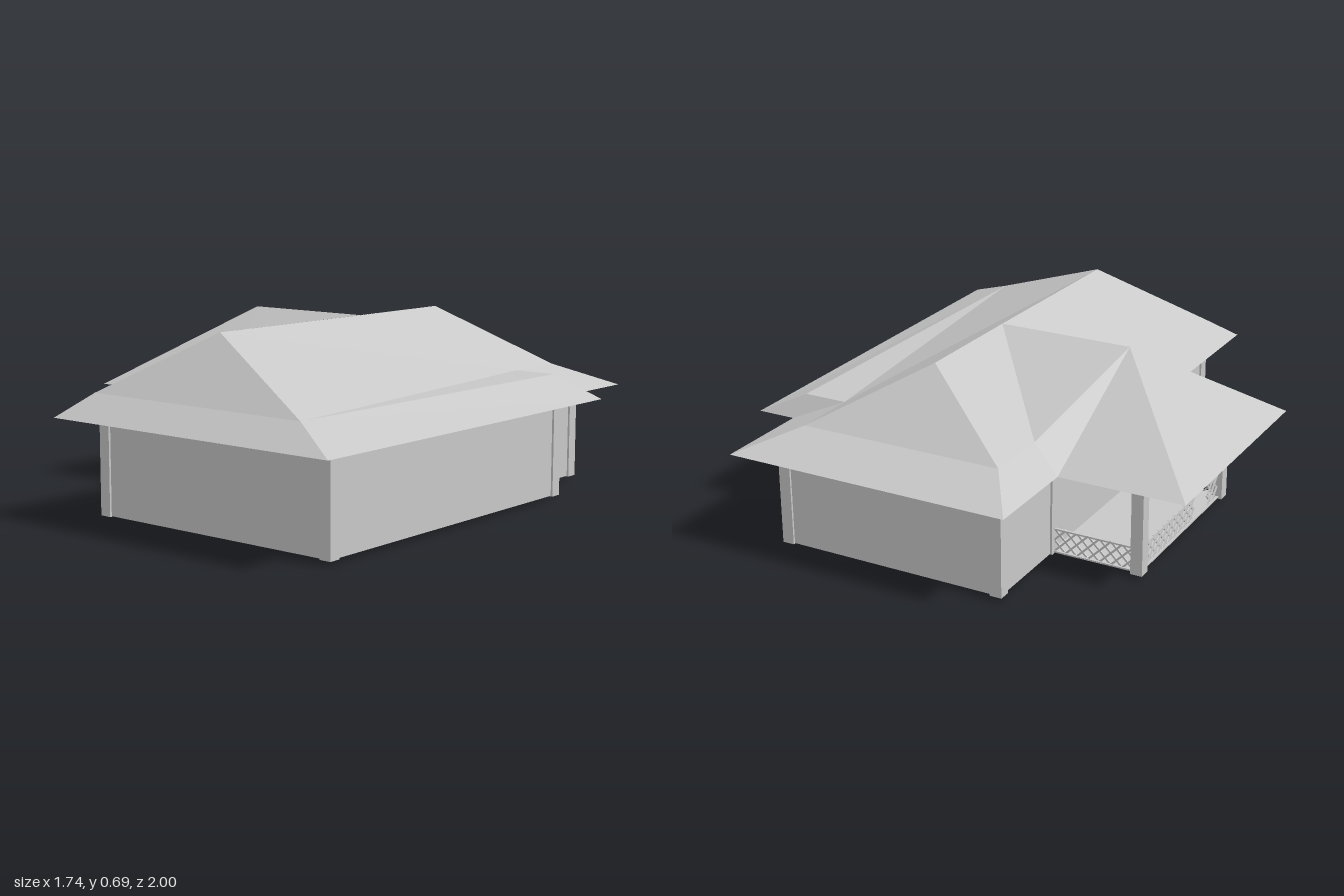
import * as THREE from 'three';

export function createModel() {
  const model = new THREE.Group();
  const mat = (name, color, side = THREE.FrontSide) => {
    const m = new THREE.MeshStandardMaterial({ color, side });
    m.name = name;
    return m;
  };
  const grey = mat('plain grey', 0xc8c8c8);
  const roofGrey = mat('roof grey', 0xc8c8c8, THREE.DoubleSide);

  const add = (geo, material, name, parent = model) => {
    const mesh = new THREE.Mesh(geo, material);
    mesh.name = name;
    parent.add(mesh);
    return mesh;
  };
  const box = (name, w, h, d, x, y, z, parent) => {
    const mesh = add(new THREE.BoxGeometry(w, h, d), grey, name, parent);
    mesh.position.set(x, y, z);
    return mesh;
  };

  const BASE = 0.015, EAVE = 0.38, BREAK = 0.465, RIDGE = 0.69;
  const H = EAVE - BASE, MID = (EAVE + BASE) / 2;

  // Roof corner points: eaves, change of slope, ridges
  const e = (x, z) => [x, EAVE, z], b = (x, z) => [x, BREAK, z], r = (x, z) => [x, RIDGE, z];
  const eFL = e(-0.39, 1), eFR = e(0.87, 1), eMR = e(0.87, -0.62), eXR = e(0.72, -0.62);
  const eBR = e(0.72, -1), eBL = e(-0.39, -1), eVB = e(-0.39, -0.62), eWB = e(-0.87, -0.62);
  const eWF = e(-0.87, 0.31), eVF = e(-0.39, 0.31);
  const bFL = b(-0.3, 0.885), bFR = b(0.66, 0.885), bMR = b(0.69, -0.57), bXR = b(0.52, -0.57);
  const bBR = b(0.52, -0.82), bBL = b(-0.27, -0.82), bVB = b(-0.27, -0.565), bVF = b(-0.27, 0.2);
  const rF = r(0.1, 0.66), rB = r(0.125, -0.57), rC = r(0.118, -0.1), rW = r(-0.41, -0.1);

  // A roof plane as a fan of triangles, all facing upward
  const roof = new THREE.Group();
  roof.name = 'roof';
  model.add(roof);
  const plane = (name, ...faces) => {
    const pos = [];
    for (const f of faces) {
      for (let i = 1; i < f.length - 1; i++) {
        const [p, q, s] = [f[0], f[i], f[i + 1]];
        const up = (q[2] - p[2]) * (s[0] - p[0]) - (q[0] - p[0]) * (s[2] - p[2]);
        pos.push(...p, ...(up > 0 ? [...q, ...s] : [...s, ...q]));
      }
    }
    const g = new THREE.BufferGeometry();
    g.setAttribute('position', new THREE.Float32BufferAttribute(pos, 3));
    g.computeVertexNormals();
    add(g, roofGrey, name, roof);
  };
  plane('frontHip', [rF, bFL, bFR], [bFL, eFL, eFR, bFR]);
  plane('rightSlope', [rF, bFR, bXR, rB], [bFR, eFR, eMR, bMR], [bFR, bMR, bXR]);
  plane('rightEaveReturn', [bXR, bMR, eMR, eXR]);
  plane('backRightSlope', [rB, bXR, bBR], [bXR, eXR, eBR, bBR]);
  plane('backHip', [rB, bBR, bBL], [bBR, eBR, eBL, bBL]);
  plane('backLeftSlope', [rC, rB, bBL, bVB], [bVB, bBL, eBL, eVB]);
  plane('frontLeftSlope', [rC, bVF, bFL, rF], [bVF, eVF, eFL, bFL]);
  plane('porchFrontSlope', [rW, eWF, eVF, bVF, rC]);
  plane('porchHip', [rW, eWB, eWF]);
  plane('porchBackSlope', [rW, rC, bVB, eVB, eWB]);

  // Flat soffit closing the roof underneath
  const outline = [eFL, eFR, eMR, eXR, eBR, eBL, eVB, eWB, eWF, eVF].map(
    (p) => new THREE.Vector2(p[0], p[2]));
  const soffit = add(new THREE.ShapeGeometry(new THREE.Shape(outline)), roofGrey, 'soffit', roof);
  soffit.rotation.x = Math.PI / 2;
  soffit.position.y = EAVE;

  // Floor slab following the walls and the porch
  const floorPts = [
    [-0.29, 0.84], [0.745, 0.84], [0.745, -0.5], [0.585, -0.5], [0.585, -0.87],
    [-0.29, -0.87], [-0.29, -0.5], [-0.655, -0.5], [-0.655, 0.235], [-0.29, 0.235],
  ].map(([x, z]) => new THREE.Vector2(x, z));
  const floor = add(new THREE.ExtrudeGeometry(new THREE.Shape(floorPts),
    { depth: 0.006, bevelEnabled: false }), grey, 'floor');
  floor.rotation.x = Math.PI / 2;
  floor.position.y = BASE + 0.008;
  box('floorFoot', 0.045, 0.016, 0.045, 0.515, 0.008, 0.01);

  // Walls between corner posts
  const corners = [[0.735, 0.83], [0.735, -0.49], [0.575, -0.49], [0.575, -0.86], [-0.29, -0.86], [-0.29, 0.83]];
  corners.forEach(([x, z], i) => {
    const [x2, z2] = corners[(i + 1) % corners.length];
    box('wall', Math.abs(x2 - x) + 0.03, H, Math.abs(z2 - z) + 0.03, (x + x2) / 2, MID, (z + z2) / 2);
  });

  // Corner and porch posts
  const porchPosts = [[-0.29, -0.49], [-0.645, -0.49], [-0.645, 0.225], [-0.29, 0.225]];
  for (const [x, z] of [...corners, ...porchPosts]) {
    box('post', 0.046, H + 0.002, 0.046, x, MID - 0.001, z);
  }

  // Porch lattice: crossed slats clipped to each panel
  const lattice = (name, length, x, z, turn) => {
    const g = new THREE.Group();
    g.name = name;
    const h = 0.095, pitch = 0.045, t = 0.007;
    for (let s = -h; s < length; s += pitch) {
      const x1 = Math.max(0, s), x2 = Math.min(length, s + h);
      if (x2 - x1 < 0.01) continue;
      for (const dir of [1, -1]) {
        const yMid = (x1 + x2) / 2 - s;
        const slat = box('slat', (x2 - x1) * Math.SQRT2, t, 0.005,
          (x1 + x2) / 2, dir > 0 ? yMid : h - yMid, dir * 0.002, g);
        slat.rotation.z = dir * Math.PI / 4;
      }
    }
    for (const y of [0.003, h - 0.003]) box('rail', length, 0.006, 0.01, length / 2, y, 0, g);
    g.position.set(x, BASE, z);
    g.rotation.y = turn;
    model.add(g);
  };
  lattice('frontLattice', 0.31, -0.622, 0.225, 0);
  lattice('backLattice', 0.31, -0.622, -0.49, 0);
  lattice('sideLatticeLong', 0.45, -0.645, -0.467, -Math.PI / 2);
  lattice('sideLatticeShort', 0.09, -0.645, 0.112, -Math.PI / 2);

  return model;
}
